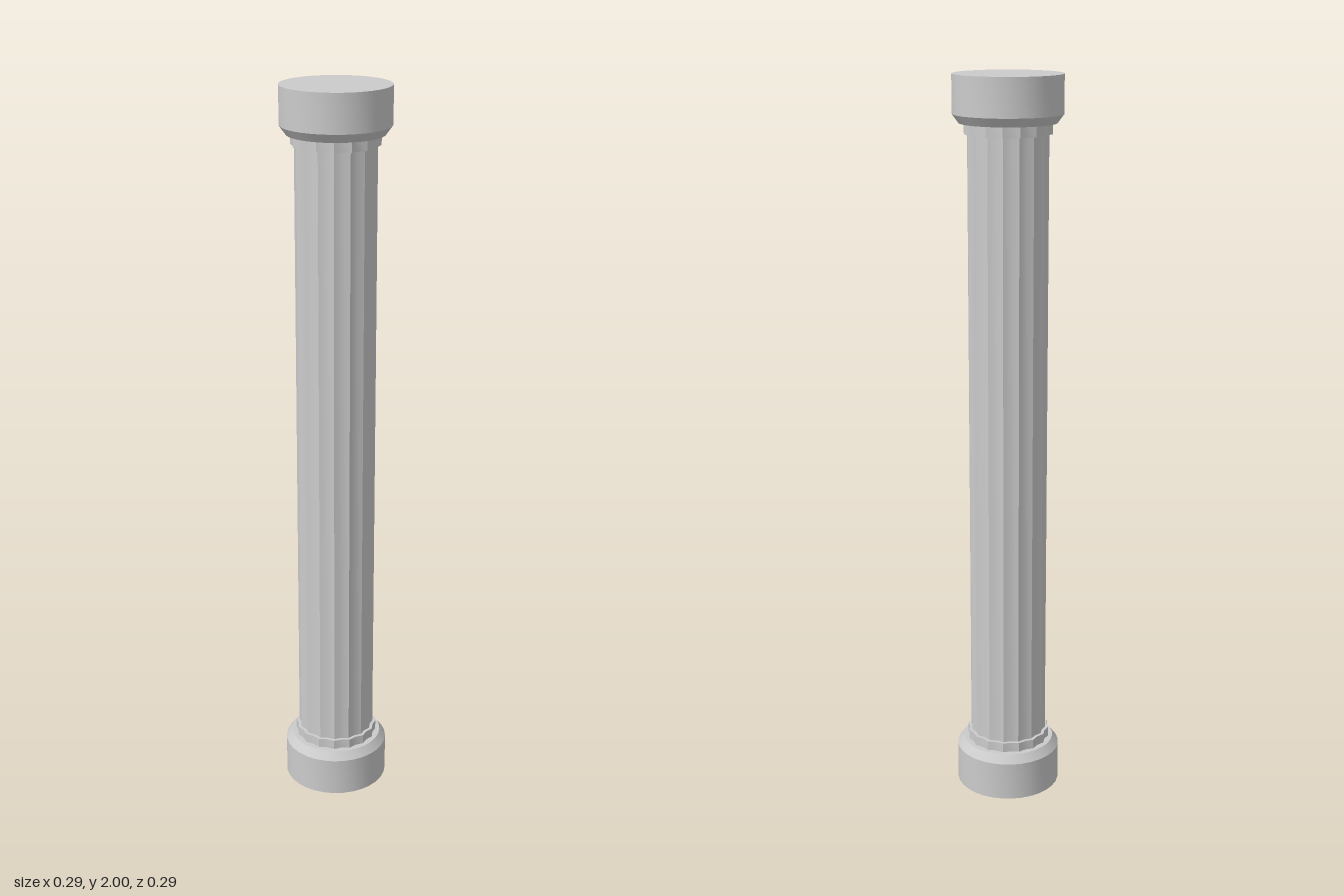
import * as THREE from 'three';
import { toCreasedNormals } from 'three/addons/utils/BufferGeometryUtils.js';

const FLUTES = 16;
const material = new THREE.MeshStandardMaterial({ color: 0xcccccc });

function addPart(group, name, geometry, crease) {
  const mesh = new THREE.Mesh(toCreasedNormals(geometry, crease), material);
  mesh.name = name;
  group.add(mesh);
}

// Upright prism with sharp ridges and shallow grooves between them
function flutedPrism(ridge, groove, y0, y1) {
  const points = [];
  for (let i = 0; i < FLUTES * 2; i++) {
    const a = (i * Math.PI) / FLUTES;
    const r = i % 2 ? ridge : groove;
    points.push(new THREE.Vector2(r * Math.cos(a), r * Math.sin(a)));
  }
  const geometry = new THREE.ExtrudeGeometry(new THREE.Shape(points), { depth: y1 - y0, bevelEnabled: false });
  return geometry.rotateX(-Math.PI / 2).translate(0, y0, 0);
}

// Round drum with one chamfered rim; profile runs from bottom to top
function drum(profile) {
  return new THREE.LatheGeometry(profile.map(([r, y]) => new THREE.Vector2(r, y)), 32);
}

export function createModel() {
  const column = new THREE.Group();
  column.name = 'column';

  // Round base and capital
  addPart(column, 'base', drum([[0, 0], [0.145, 0], [0.145, 0.108], [0.128, 0.131], [0, 0.131]]), 0.5);
  addPart(column, 'capital', drum([[0, 1.876], [0.128, 1.876], [0.145, 1.899], [0.145, 2], [0, 2]]), 0.5);

  // Fluted collars and shaft
  addPart(column, 'lowerCollar', flutedPrism(0.116, 0.11, 0.13, 0.158), 0.5);
  addPart(column, 'upperCollar', flutedPrism(0.116, 0.11, 1.848, 1.877), 0.5);
  addPart(column, 'shaft', flutedPrism(0.107, 0.101, 0.157, 1.849), 0.5);

  return column;
}
